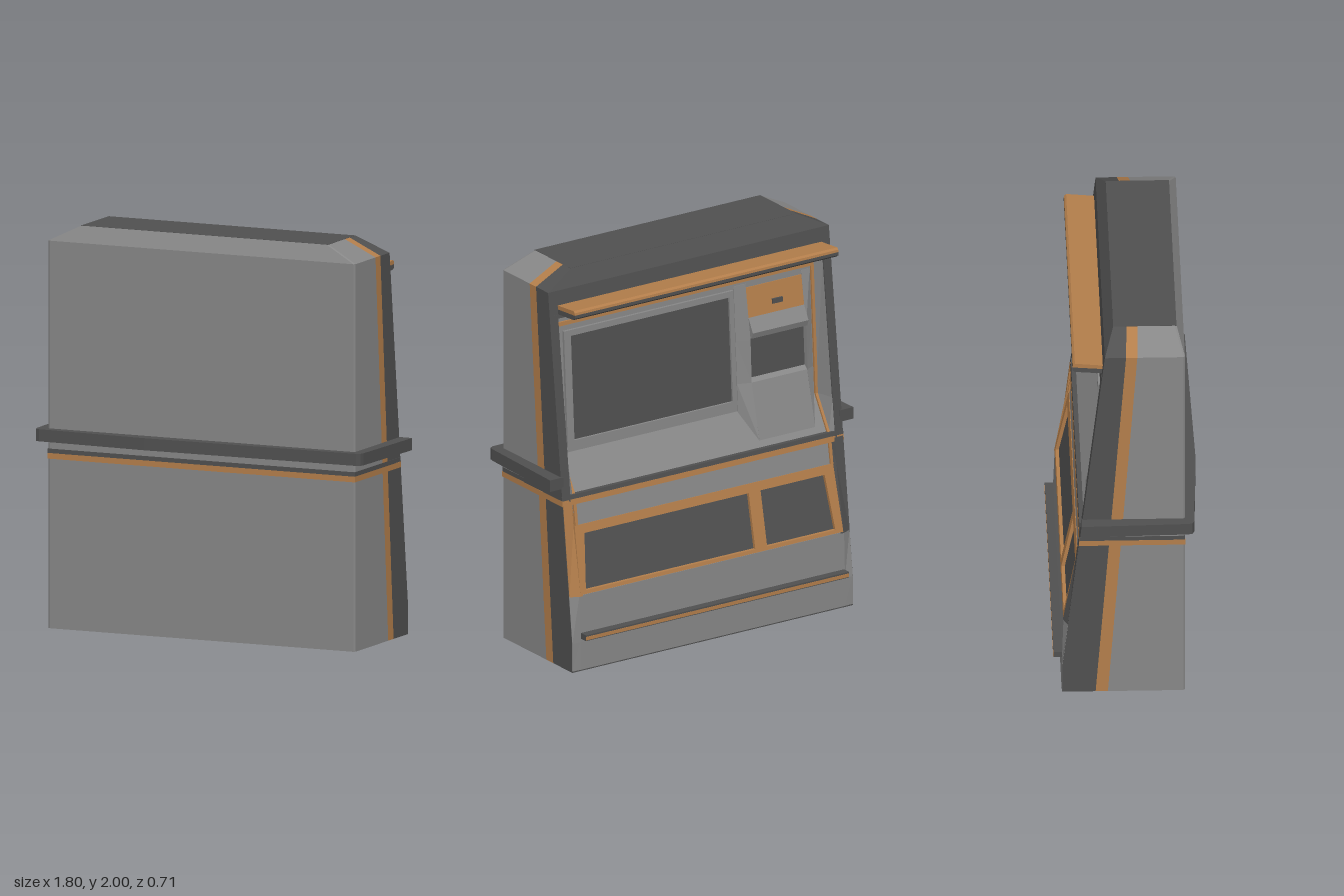
import * as THREE from 'three';

const mat = (color) => new THREE.MeshStandardMaterial({ color, flatShading: true });

export function createModel() {
  const group = new THREE.Group();
  const grey = mat(0x878787), dark = mat(0x505050), tan = mat(0xb37e4b);

  const add = (name, geo, material) => {
    const m = new THREE.Mesh(geo, material);
    m.name = name;
    group.add(m);
  };

  // Closed solid through convex rings of [x, y, z]; winding is fixed by its volume
  const loft = (rings) => {
    const tris = [], n = rings[0].length;
    for (let r = 0; r < rings.length - 1; r++) {
      for (let i = 0; i < n; i++) {
        const j = (i + 1) % n, a = rings[r], b = rings[r + 1];
        tris.push([a[i], a[j], b[j]], [a[i], b[j], b[i]]);
      }
    }
    const last = rings[rings.length - 1];
    for (let i = 1; i < n - 1; i++) {
      tris.push([rings[0][0], rings[0][i + 1], rings[0][i]], [last[0], last[i], last[i + 1]]);
    }
    let vol = 0;
    const v = (p) => new THREE.Vector3(...p);
    for (const [a, b, c] of tris) vol += v(a).dot(v(b).cross(v(c)));
    if (vol < 0) tris.forEach((t) => t.reverse());
    const geo = new THREE.BufferGeometry();
    geo.setAttribute('position', new THREE.Float32BufferAttribute(tris.flat(2), 3));
    geo.computeVertexNormals();
    return geo;
  };

  const shapeOf = (pts) => new THREE.Shape(pts.map((p) => new THREE.Vector2(...p)));
  const rect = (x0, y0, x1, y1) => [[x0, y0], [x1, y0], [x1, y1], [x0, y1]];

  // Side profile of [z, y] points swept from x0 to x1
  const sweepX = (pts, x0, x1) => new THREE.ExtrudeGeometry(shapeOf(pts), { depth: x1 - x0, bevelEnabled: false })
    .rotateY(-Math.PI / 2).translate(x1, 0, 0);

  // Flat outline with holes, sheared so its outer face follows z = zAt(y)
  const panel = (outline, holes, zAt, depth) => {
    const shape = shapeOf(outline);
    shape.holes = holes.map((h) => new THREE.Path(h.map((p) => new THREE.Vector2(...p))));
    const geo = new THREE.ExtrudeGeometry(shape, { depth, bevelEnabled: false });
    const p = geo.attributes.position;
    for (let i = 0; i < p.count; i++) p.setZ(i, p.getZ(i) + zAt(p.getY(i)));
    geo.computeVertexNormals();
    return geo;
  };

  // Sloping lines of the cabinet
  const stripeFront = (y) => -0.09 + 0.075 * y;
  const stripeBack = (y) => -0.15 + 0.0775 * y;
  const pillarBack = (y) => Math.max(-0.312, -0.105 - (1.92 - y) * 0.117);
  const wall = (y) => -0.06 - (1.75 - y) * 0.058;
  const fascia = (y) => -0.305 + (y - 0.39) * 0.206;

  // Cabinet shell: front body, slanted stripe and top header
  const W = 0.833;
  const slice = (w, y, zf, zb) => [[w, y, zf], [w, y, zb], [-w, y, zb], [-w, y, zf]];
  const bodyRing = (w, y, zf) => [[w, y, zf - 0.008], [w, y, stripeFront(y)], [-w, y, stripeFront(y)],
    [-w, y, zf - 0.008], [-w + 0.008, y, zf], [w - 0.008, y, zf]];
  add('frontBody', loft([bodyRing(W, 0, 0.287), bodyRing(W, 1.92, 0.287), bodyRing(0.67, 2, 0.25)]), grey);
  add('slantedStripe', loft([[W, 0], [W, 1.92], [0.67, 2]].map(([w, y]) => slice(w, y, stripeFront(y), stripeBack(y)))), tan);
  add('topHeader', loft([
    slice(W, 1.78, stripeBack(1.78), pillarBack(1.78)),
    slice(W, 1.92, stripeBack(1.92), -0.105),
    slice(0.67, 2, stripeBack(2), -0.06),
  ]), dark);
  add('topPlate', new THREE.BoxGeometry(1.34, 0.003, 0.31).translate(0, 1.9995, 0.095), dark);

  // Recessed inner wall, sloping ledge and lower backing
  add('innerConsole', sweepX([[0, 0.01], [0.03, 1.9], [-0.055, 1.9], [-0.06, 1.75], [-0.1, 1.06],
    [-0.21, 0.88], [-0.235, 0.73], [-0.205, 0.73], [-0.275, 0.39], [-0.3, 0.38], [-0.3, 0.01]], -0.785, 0.785), grey);

  for (const s of [-1, 1]) {
    const side = s > 0 ? 'left' : 'right';
    // Side pillar
    add(side + 'Pillar', loft([0, 0.15, 1.8].map((y) => [
      [s * W, y, stripeBack(y)], [s * W, y, pillarBack(y)],
      [s * 0.785, y, pillarBack(y) - 0.002], [s * 0.785, y, stripeBack(y)]])), dark);
    // Slanted cheek inside the recess
    add(side + 'Cheek', loft([[1.78, wall(1.78)], [1.06, -0.1], [0.88, -0.21]].map(([y, z]) => [
      [s * 0.786, y, pillarBack(y)], [s * 0.76, y, z], [s * 0.786, y, z + 0.02]])), grey);
    // Trim strip following the recess
    const x = s * 0.757;
    add(side + 'RecessTrim', sweepX([[-0.05, 1.78], [-0.07, 1.78], [-0.112, 1.06], [-0.222, 0.88],
      [-0.243, 0.73], [-0.2, 0.73], [-0.18, 0.88], [-0.08, 1.06]], x - 0.008, x + 0.008), tan);
    // Chamfered cheek of the lower fascia, coloured on the left side only
    add(side + 'FasciaCheek', loft([0.385, 0.73, 0.86].map((y) => {
      const b = pillarBack(y), f = fascia(y);
      return [[s * (W - 0.002), y, b + 0.02], [s * (W - 0.002), y, b - 0.002], [s * 0.78, y, Math.min(f, b) - 0.003],
        [s * 0.765, y, f - 0.002], [s * 0.765, y, f + 0.03]];
    })), s > 0 ? tan : dark);
  }

  // Lower kick panel, base and foot bar
  const kick = (y, z) => [[W - 0.001, y, -0.27], [W - 0.001, y, pillarBack(y) - 0.001], [0.785, y, z],
    [-0.785, y, z], [-W + 0.001, y, pillarBack(y) - 0.001], [-W + 0.001, y, -0.27]];
  add('kickPanel', loft([kick(0.006, -0.316), kick(0.15, -0.314), kick(0.39, -0.306)]), grey);
  add('basePlate', loft([0, 0.006].map((y) => slice(W, y, -0.15, -0.315))), dark);
  add('footBar', new THREE.BoxGeometry(1.56, 0.03, 0.05).translate(0, 0.182, -0.33), dark);
  add('footBarTrim', new THREE.BoxGeometry(1.56, 0.018, 0.002).translate(0, 0.18, -0.3555), tan);

  // Belt lines around the cabinet
  const belt = (y0, y1, o) => loft([y0, y1].map((y) => slice(W + o, y, 0.287 + o, pillarBack(y) - o)));
  add('beltStripe', belt(0.84, 0.868, 0.0015), tan);
  add('beltGroove', belt(0.868, 0.89, 0.001), dark);

  // Wrap-around bumper rail
  const rail = shapeOf([[0.82, -0.22], [0.9, -0.22], [0.886, 0.3], [0.881, 0.322], [0.86, 0.332], [-0.28, 0.354],
    [-0.86, 0.332], [-0.881, 0.322], [-0.886, 0.3], [-0.9, -0.22], [-0.82, -0.22], [-0.82, 0.27], [0.82, 0.27]]);
  add('bumperRail', new THREE.ExtrudeGeometry(rail, { depth: 0.06, bevelEnabled: false })
    .rotateX(Math.PI / 2).translate(0, 0.99, 0), dark);

  // Canopy over the screen
  add('canopyTop', sweepX([[-0.1, 1.825], [-0.262, 1.838], [-0.26, 1.85], [-0.25, 1.859], [-0.1, 1.845]], -0.782, 0.782), tan);
  add('canopyUnderside', sweepX([[-0.1, 1.8], [-0.25, 1.812], [-0.262, 1.822], [-0.262, 1.838], [-0.1, 1.825]], -0.782, 0.782), dark);
  add('upperTrim', panel(rect(-0.75, 1.715, 0.75, 1.735), [], (y) => wall(y) - 0.01, 0.02), tan);

  // Main screen
  add('screenBezel', panel(rect(-0.285, 1.09, 0.72, 1.685), [rect(-0.26, 1.12, 0.68, 1.655)], (y) => wall(y) - 0.014, 0.02), grey);
  add('screen', panel(rect(-0.262, 1.118, 0.682, 1.657), [], (y) => wall(y) - 0.003, 0.01), dark);

  // Reader unit beside the screen, its lower part running into the ledge
  const readerX = [-0.695, -0.365];
  for (const [inner, outer] of [[-0.365, -0.295], [-0.695, -0.745]]) {
    add('readerCheek', loft([[1.7, -0.065], [1.42, -0.11], [1.2, -0.12], [0.92, -0.187]].map(([y, z]) => [
      [inner, y, z], [inner, y, wall(y) + 0.02], [outer, y, wall(y) + 0.02], [outer, y, wall(y) - 0.003]])), grey);
  }
  add('readerPlate', sweepX([[-0.05, 1.68], [-0.068, 1.68], [-0.092, 1.53], [-0.05, 1.53]], ...readerX), tan);
  add('readerSlot', new THREE.BoxGeometry(0.06, 0.025, 0.012).translate(-0.54, 1.585, -0.085), dark);
  add('readerHood', sweepX([[-0.05, 1.53], [-0.092, 1.53], [-0.13, 1.46], [-0.12, 1.43], [-0.05, 1.42]], ...readerX), grey);
  add('readerRecess', panel(rect(-0.695, 1.19, -0.365, 1.43), [], (y) => wall(y) - 0.006, 0.01), dark);
  add('readerTray', sweepX([[-0.05, 1.22], [-0.095, 1.22], [-0.118, 1.2], [-0.188, 0.92], [-0.08, 0.92]], ...readerX), grey);

  // Lower fascia frame with two dark windows that widen downwards
  const windows = [
    [[-0.26, 0.41], [0.745, 0.41], [0.715, 0.685], [-0.26, 0.685]],
    [[-0.735, 0.41], [-0.33, 0.41], [-0.33, 0.685], [-0.71, 0.685]],
  ];
  add('fasciaFrame', panel(rect(-0.78, 0.392, 0.78, 0.73), windows, (y) => fascia(y) - 0.003, 0.035), tan);
  for (const w of windows) add('fasciaWindow', panel(w, [], (y) => fascia(y) + 0.014, 0.01), dark);

  return group;
}
